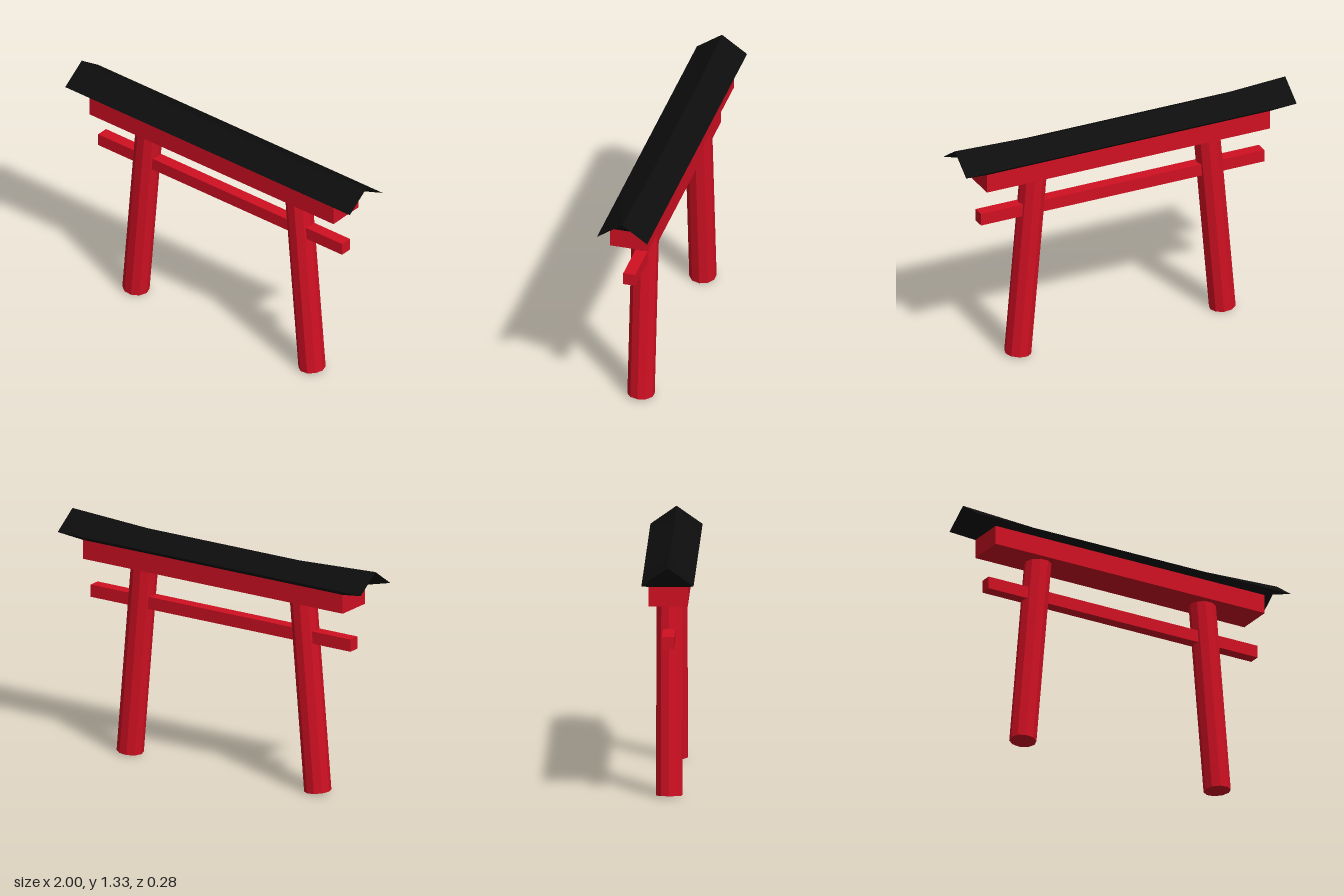
import * as THREE from 'three';

const red = new THREE.MeshStandardMaterial({ color: 0xd01022, flatShading: true });
const black = new THREE.MeshStandardMaterial({ color: 0x0d0d0d, flatShading: true });

function add(group, name, geometry, material) {
  const mesh = new THREE.Mesh(geometry, material);
  mesh.name = name;
  group.add(mesh);
  return mesh;
}

// Gabled roof: five-point sections swept along x, with ends undercut to the beam
function roofGeometry() {
  const stations = [[-1, 1.325], [-0.5, 1.3], [0.5, 1.3], [1, 1.325]];
  const eaveY = 1.225, eaveZ = 0.142, baseY = 1.197, baseZ = 0.107, baseX = 0.857;
  const points = [], index = [];
  for (const [x, ridgeY] of stations) {
    const bx = THREE.MathUtils.clamp(x, -baseX, baseX);
    points.push(
      x, eaveY, eaveZ,
      x, ridgeY, 0,
      x, eaveY, -eaveZ,
      bx, baseY, -baseZ,
      bx, baseY, baseZ
    );
  }
  for (let i = 0; i < stations.length - 1; i++) {
    for (let j = 0; j < 5; j++) {
      const a = i * 5 + j, d = i * 5 + (j + 1) % 5;
      index.push(a, a + 5, d + 5, a, d + 5, d);
    }
  }
  // End faces fan out from the ridge point
  const last = (stations.length - 1) * 5;
  for (let k = 2; k < 5; k++) {
    const n = (k + 1) % 5;
    index.push(1, k, n, last + 1, last + n, last + k);
  }
  const geometry = new THREE.BufferGeometry();
  geometry.setAttribute('position', new THREE.Float32BufferAttribute(points, 3));
  geometry.setIndex(index);
  const flat = geometry.toNonIndexed();
  flat.computeVertexNormals();
  return flat;
}

export function createModel() {
  const gate = new THREE.Group();
  gate.name = 'gate';

  // Ten-sided posts leaning in towards the top
  const radius = 0.0745, length = 1.1, lean = THREE.MathUtils.degToRad(5);
  for (const side of [-1, 1]) {
    const geometry = new THREE.CylinderGeometry(radius, radius, length, 10, 1, false, Math.PI / 2);
    geometry.translate(0, length / 2, 0);
    const post = add(gate, side > 0 ? 'leftPost' : 'rightPost', geometry, red);
    post.position.set(side * 0.619, radius * Math.sin(lean), 0);
    post.rotation.z = side * lean;
  }

  // Horizontal beams
  add(gate, 'tieBeam', new THREE.BoxGeometry(1.714, 0.07, 0.067), red).position.y = 0.887;
  add(gate, 'topBeam', new THREE.BoxGeometry(1.714, 0.108, 0.214), red).position.y = 1.143;

  add(gate, 'roof', roofGeometry(), black);
  return gate;
}
